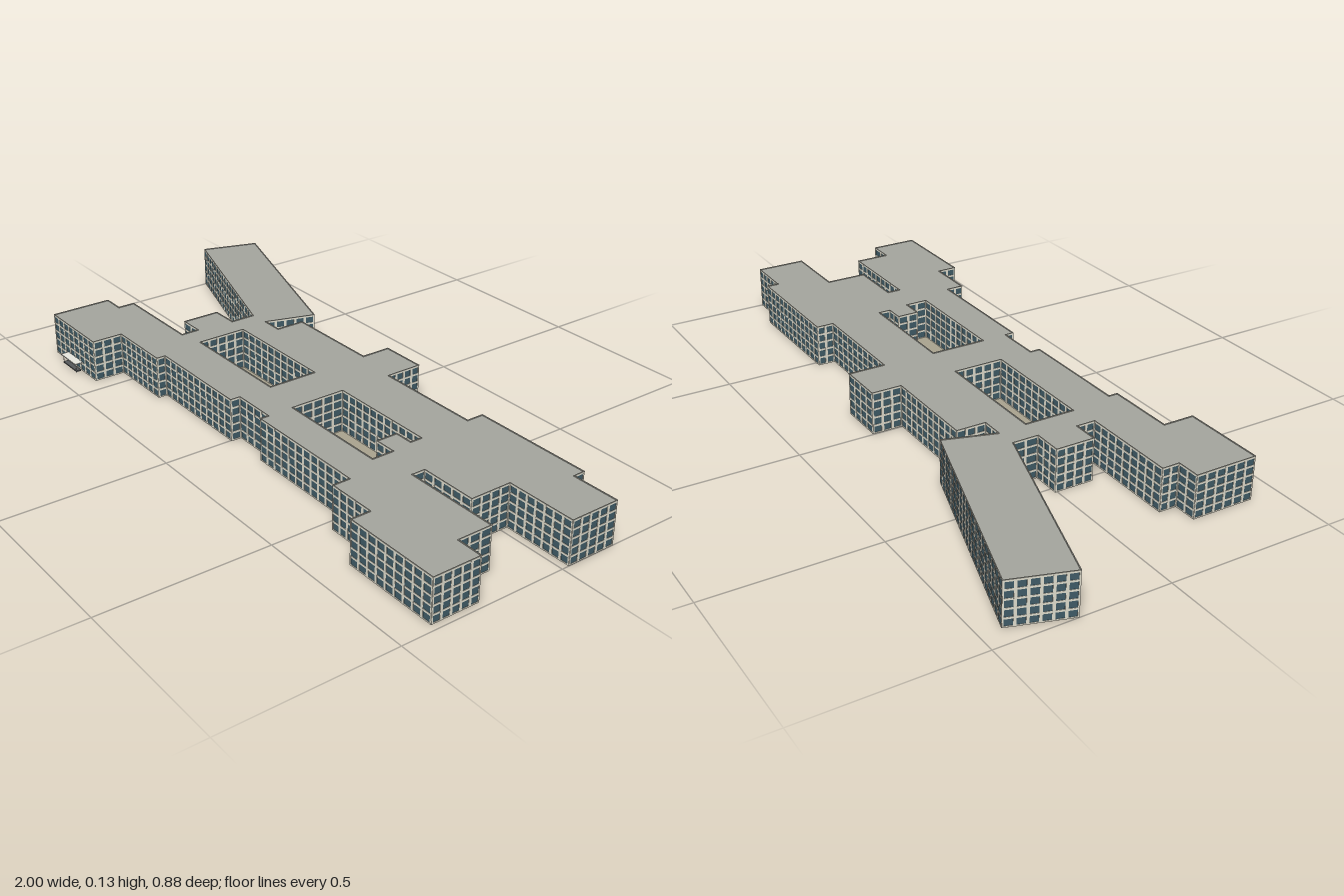
import * as THREE from 'three';
import { mergeGeometries } from 'three/addons/utils/BufferGeometryUtils.js';

const ROOF = 0.128, FLOORS = 5, BAY = 0.032, THICK = 0.0024;

// Plan outline as [x, z], clockwise seen from above
const outline = [
  [-0.999, -0.266], [-0.943, -0.439], [-0.323, -0.24], [-0.37, -0.088], [-0.303, -0.088], [-0.303, -0.178],
  [0.003, -0.178], [0.003, -0.27], [0.145, -0.27], [0.145, -0.157], [0.48, -0.157], [0.48, -0.21],
  [0.855, -0.21], [0.855, -0.174], [0.999, -0.174], [0.999, -0.022], [0.785, -0.022], [0.785, 0.105],
  [0.61, 0.105], [0.61, 0.146], [0.9, 0.146], [0.9, 0.252], [0.98, 0.252], [0.98, 0.397],
  [0.682, 0.397], [0.682, 0.337], [0.533, 0.337], [0.533, 0.284], [0.141, 0.284], [0.141, 0.257],
  [0.003, 0.257], [0.003, 0.288], [-0.345, 0.288], [-0.345, 0.316], [-0.555, 0.316], [-0.555, 0.412],
  [-0.807, 0.412], [-0.807, 0.222], [-0.736, 0.222], [-0.736, 0.169], [-0.443, 0.169], [-0.443, 0.112],
  [-0.52, 0.112], [-0.52, -0.006], [-0.433, -0.006], [-0.433, -0.084],
];

// Courtyards, counterclockwise seen from above
const courtyards = [
  [[-0.364, 0], [-0.364, 0.154], [0.003, 0.154], [0.003, 0]],
  [[0.141, 0.005], [0.141, 0.177], [0.49, 0.177], [0.49, 0.109], [0.423, 0.109], [0.423, 0.042],
    [0.48, 0.042], [0.48, 0.005]],
];

const mat = (color, side = THREE.FrontSide) => new THREE.MeshStandardMaterial({ color, side });

function addMesh(parent, name, geometry, material) {
  const mesh = new THREE.Mesh(geometry, material);
  mesh.name = name;
  parent.add(mesh);
  return mesh;
}

const toVectors = (points) => points.map(([x, z]) => new THREE.Vector2(x, -z));

function flatPlan(points, holes, y) {
  const shape = new THREE.Shape(toVectors(points));
  shape.holes = holes.map((h) => new THREE.Path(toVectors(h)));
  return new THREE.ShapeGeometry(shape).rotateX(-Math.PI / 2).translate(0, y, 0);
}

// Glass sheet with mullions, floor bands and coping through it, along one wall
function buildWall([ax, az], [bx, bz], parts) {
  const length = Math.hypot(bx - ax, bz - az);
  const place = new THREE.Matrix4()
    .makeRotationY(Math.atan2(bz - az, -(bx - ax)))
    .setPosition((ax + bx) / 2, 0, (az + bz) / 2);
  const bar = (list, w, h, depth, x, y) =>
    list.push(new THREE.BoxGeometry(w, h, depth).translate(x, y, 0).applyMatrix4(place));

  parts.glass.push(new THREE.PlaneGeometry(length, ROOF).translate(0, ROOF / 2, 0).applyMatrix4(place));
  const bays = Math.max(1, Math.round(length / BAY));
  for (let i = 0; i <= bays; i++) {
    const end = i === 0 ? 1 : i === bays ? -1 : 0;
    const w = end ? 0.004 : 0.008;
    bar(parts.frames, w, ROOF, THICK, -length / 2 + (i * length) / bays + (end * w) / 2, ROOF / 2);
  }
  for (let f = 0; f <= FLOORS; f++) {
    const end = f === 0 ? 1 : f === FLOORS ? -1 : 0;
    const h = end ? 0.004 : 0.006;
    bar(parts.frames, length, h, THICK - 0.0004, 0, (f * ROOF) / FLOORS + (end * h) / 2);
  }
  bar(parts.coping, length + THICK, 0.0025, THICK, 0, ROOF + 0.00125);
}

export function createModel() {
  const model = new THREE.Group();
  model.name = 'officeComplex';

  // Facades around the outside and the courtyards
  const parts = { glass: [], frames: [], coping: [] };
  for (const loop of [outline, ...courtyards]) {
    loop.forEach((p, i) => buildWall(p, loop[(i + 1) % loop.length], parts));
  }
  addMesh(model, 'windowGlass', mergeGeometries(parts.glass), mat(0x3f5b66, THREE.DoubleSide));
  addMesh(model, 'facadeFrames', mergeGeometries(parts.frames), mat(0xdedbcc));
  addMesh(model, 'roofCoping', mergeGeometries(parts.coping), mat(0xb0afa4));

  // Roof with courtyard openings
  addMesh(model, 'roof', flatPlan(outline, courtyards, ROOF), mat(0xa3a49d, THREE.DoubleSide));

  // Courtyard paving and planting beds
  const paving = mat(0xa8a28e, THREE.DoubleSide);
  const planting = mat(0x659362);
  const beds = [[-0.178, 0.074], [0.333, 0.09]];
  courtyards.forEach((yard, i) => {
    addMesh(model, 'courtyardFloor', flatPlan(yard, [], 0.002), paving);
    addMesh(model, 'plantingBed', new THREE.BoxGeometry(0.046, 0.004, 0.03), planting)
      .position.set(beds[i][0], 0.004, beds[i][1]);
  });

  // Entrance canopy on posts above a low step
  const entrance = new THREE.Group();
  entrance.name = 'entrance';
  entrance.position.set(-0.682, 0, 0.412);
  const pale = mat(0xe6e6de);
  addMesh(entrance, 'canopy', new THREE.BoxGeometry(0.092, 0.002, 0.026), pale).position.set(0, 0.03, 0.013);
  addMesh(entrance, 'step', new THREE.BoxGeometry(0.084, 0.004, 0.016), mat(0x55585a))
    .position.set(0, 0.004, 0.014);
  for (const x of [-0.04, 0.04]) {
    addMesh(entrance, 'canopyPost', new THREE.CylinderGeometry(0.001, 0.001, 0.03, 8), pale)
      .position.set(x, 0.015, 0.021);
  }
  model.add(entrance);
  return model;
}
